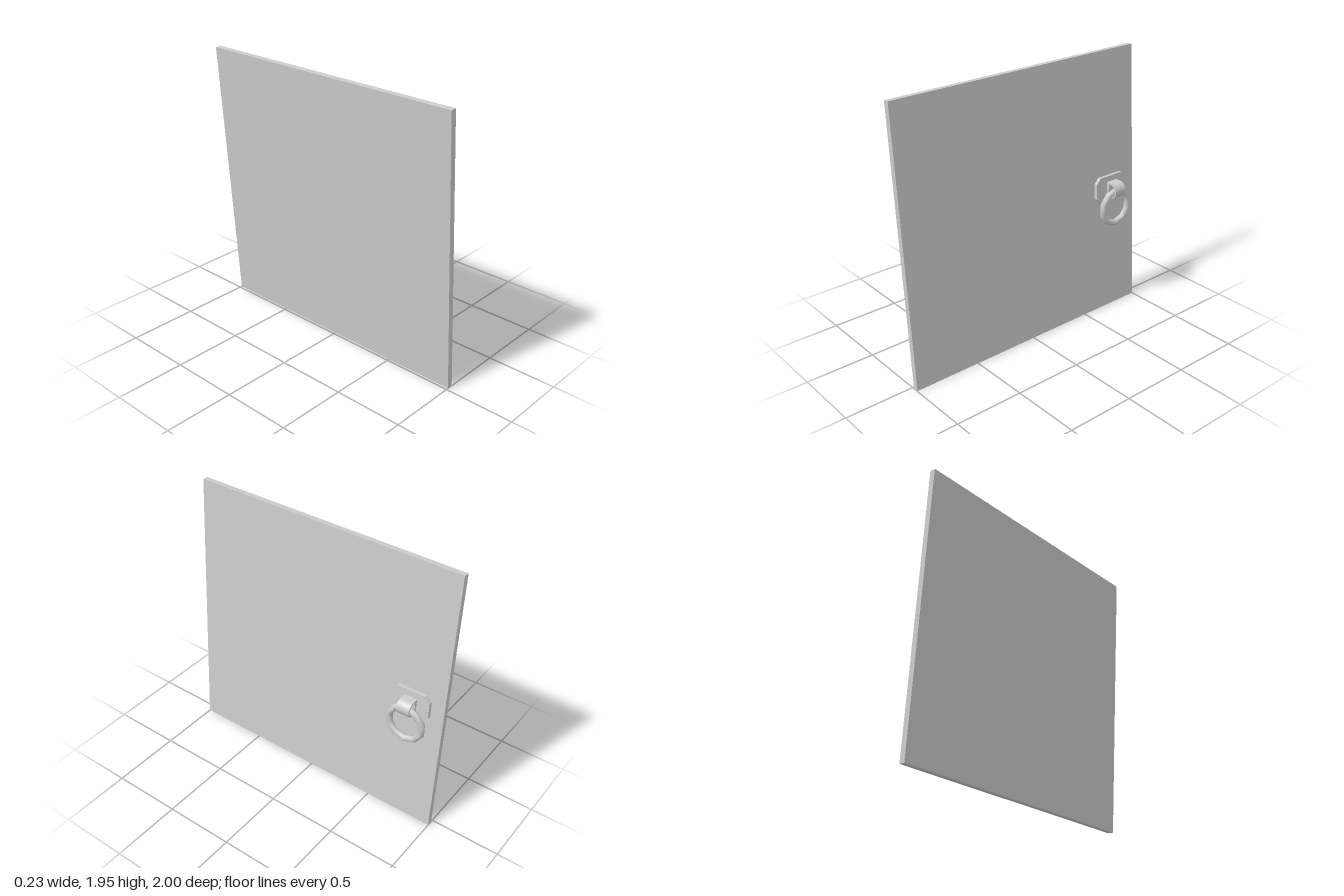
import * as THREE from 'three';

const TILT = 0.068;      // lean of the panel
const HANDLE_Z = -0.764; // centre of the handle across the panel

export function createModel() {
  const model = new THREE.Group();
  const material = new THREE.MeshStandardMaterial({ color: 0xcccccc });
  const add = (name, geometry, parent = model) => {
    const mesh = new THREE.Mesh(geometry, material);
    mesh.name = name;
    parent.add(mesh);
    return mesh;
  };

  // Leaning panel
  const door = new THREE.Group();
  door.name = 'door';
  door.position.set(-0.029, 0.973, 0);
  door.rotation.z = TILT;
  model.add(door);
  add('panel', new THREE.BoxGeometry(0.041, 1.947, 2), door);

  // Backing plate with clipped corners, flat against the panel
  const w = 0.142, h = 0.095, c = 0.038;
  const outline = new THREE.Shape([
    [w, h - c], [w - c, h], [c - w, h], [-w, h - c],
    [-w, c - h], [c - w, -h], [w - c, -h], [w, c - h],
  ].map(([x, y]) => new THREE.Vector2(x, y)));
  const plate = add('handlePlate',
    new THREE.ExtrudeGeometry(outline, { depth: 0.026, bevelEnabled: false }).rotateY(Math.PI / 2), door);
  plate.position.set(0.0205, -0.03, HANDLE_Z + 0.003);

  // D-shaped strap holding the ring
  const dLoop = (path, back, r) => {
    path.moveTo(back, -r);
    path.lineTo(0.057, -r);
    path.absarc(0.057, 0, r, -Math.PI / 2, Math.PI / 2, false);
    path.lineTo(back, r);
    path.closePath();
    return path;
  };
  const strapShape = dLoop(new THREE.Shape(), 0.015, 0.056);
  strapShape.holes.push(dLoop(new THREE.Path(), 0.037, 0.044));
  const strap = add('strap',
    new THREE.ExtrudeGeometry(strapShape, { depth: 0.094, bevelEnabled: false, curveSegments: 8 }));
  strap.position.set(0, 0.943, HANDLE_Z - 0.047);

  // Ten-sided pull ring hanging from the strap
  const ring = add('pullRing',
    new THREE.TorusGeometry(0.126, 0.0225, 10, 10).rotateZ(Math.PI / 2).rotateY(Math.PI / 2));
  ring.position.set(0.0625, 0.81, HANDLE_Z);

  return model;
}
